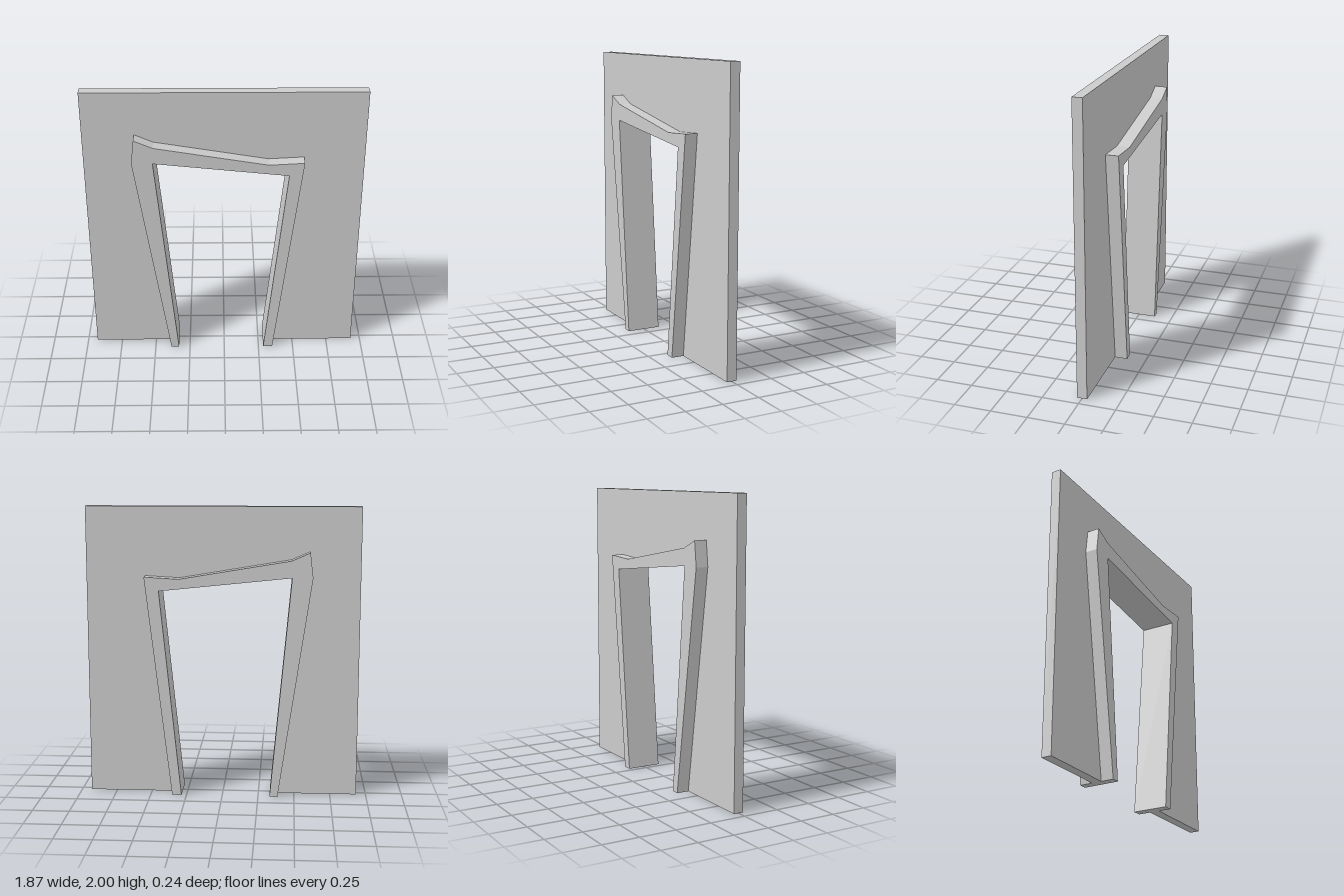
import * as THREE from 'three';

// Crooked outlines of the door frame, from the left foot over the top to the right foot
const outer = [[-0.385, 0], [-0.61, 1.53], [-0.59, 1.7], [-0.465, 1.645], [0.295, 1.517], [0.53, 1.53], [0.35, 0]];
const inner = [[-0.33, 0], [-0.47, 1.53], [0.43, 1.435], [0.285, 0]];
const wallEdge = [[-0.933, 0], [-0.933, 2], [0.933, 2], [0.933, 0]];

// Arch-shaped slab between two outlines, centred on z = 0
function archSlab(name, outside, inside, depth) {
  const points = [...outside, ...[...inside].reverse()].map(([x, y]) => new THREE.Vector2(x, y));
  const geometry = new THREE.ExtrudeGeometry(new THREE.Shape(points), { depth, bevelEnabled: false });
  geometry.translate(0, 0, -depth / 2);
  const mesh = new THREE.Mesh(geometry, new THREE.MeshStandardMaterial({ color: 0xcccccc, flatShading: true }));
  mesh.name = name;
  return mesh;
}

export function createModel() {
  const group = new THREE.Group();
  group.name = 'doorwayWall';
  // Thin wall fitted around the frame
  group.add(archSlab('wall', wallEdge, outer, 0.068));
  // Thicker frame standing proud on both sides
  group.add(archSlab('doorFrame', outer, inner, 0.242));
  return group;
}
